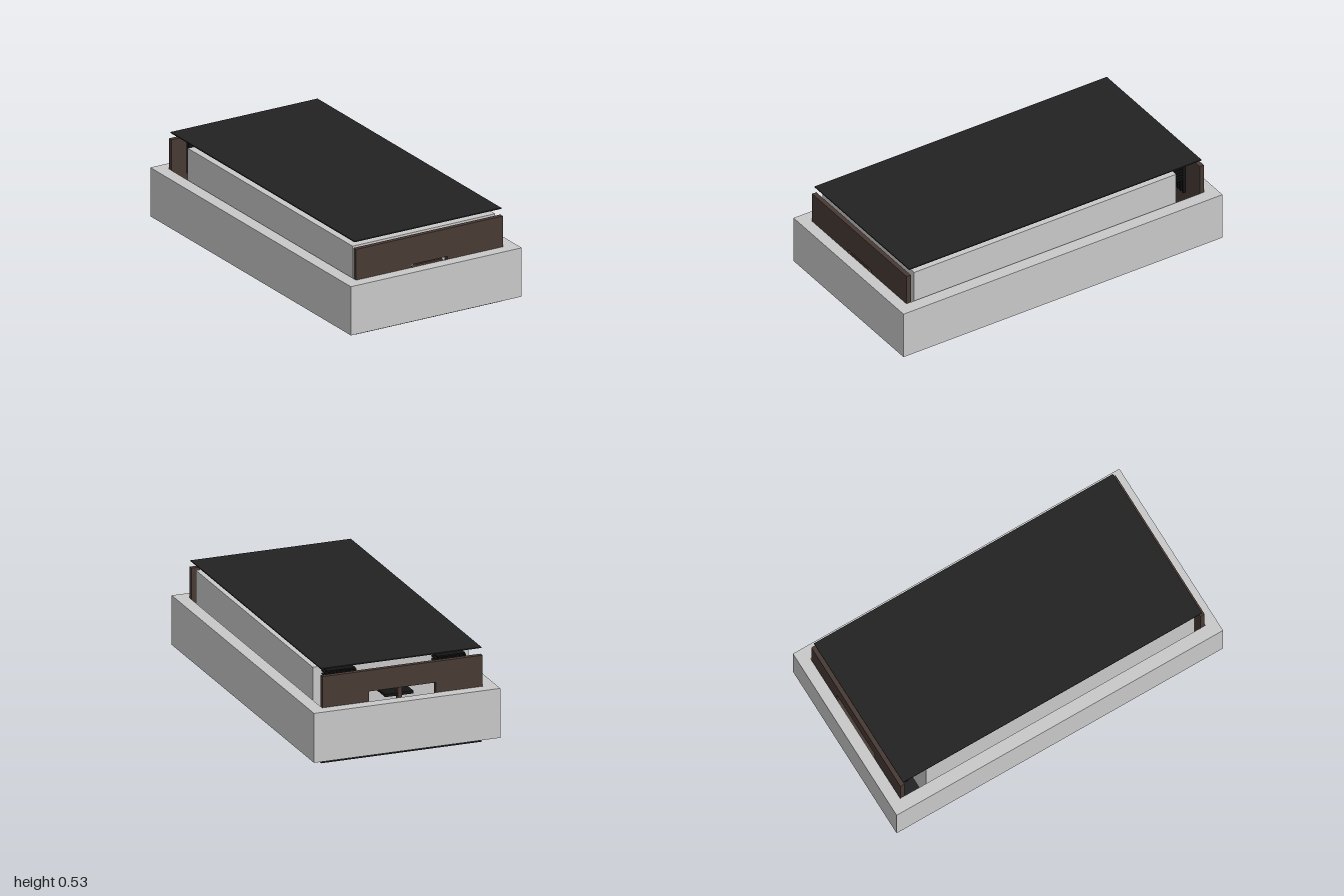
import * as THREE from 'three';

const mat = (name, color) => {
  const m = new THREE.MeshStandardMaterial({ color });
  m.name = name;
  return m;
};

export function createModel() {
  const grey = mat('light grey', 0xc8c8c8);
  const black = mat('plate black', 0x222222);
  const brown = mat('panel brown', 0x483a34);
  const pinBlack = mat('connector black', 0x141414);
  const model = new THREE.Group();
  model.name = 'explodedCase';

  const add = (name, geo, material, parent = model) => {
    const mesh = new THREE.Mesh(geo, material);
    mesh.name = name;
    parent.add(mesh);
    return mesh;
  };
  // Box given by its limits on each axis
  const box = (name, material, x0, x1, y0, y1, z0, z1, parent) => {
    const m = add(name, new THREE.BoxGeometry(x1 - x0, y1 - y0, z1 - z0), material, parent);
    m.position.set((x0 + x1) / 2, (y0 + y1) / 2, (z0 + z1) / 2);
    return m;
  };
  const points = (list) => list.map(([x, y]) => new THREE.Vector2(x, y));

  // Outer sleeve: a rectangular ring open at top and bottom
  const ring = new THREE.Shape(points([[-0.527, -1], [0.527, -1], [0.527, 1], [-0.527, 1]]));
  ring.holes.push(new THREE.Path(points([[-0.455, -0.935], [-0.455, 0.935], [0.455, 0.935], [0.455, -0.935]])));
  const sleeve = new THREE.ExtrudeGeometry(ring, { depth: 0.275, bevelEnabled: false });
  sleeve.rotateX(-Math.PI / 2);
  add('outerSleeve', sleeve, grey).position.y = 0.04;

  // Inner case with a shallow tab underneath
  box('innerCase', grey, -0.44, 0.44, 0.04, 0.484, -0.767, 0.876);
  box('caseTab', grey, -0.08, 0.08, 0.036, 0.04, 0.83, 0.87);

  // Cover plates floating above and below
  box('topPlate', black, -0.453, 0.453, 0.522, 0.528, -0.916, 0.916);
  box('bottomPlate', black, -0.453, 0.453, 0, 0.006, -0.916, 0.916);

  // End panels: two trapezoid tabs on the lower edge and one opening each
  const outline = [
    [-0.453, 0.04], [-0.275, 0.04], [-0.26, 0.034], [-0.195, 0.034], [-0.19, 0.04],
    [0.19, 0.04], [0.195, 0.034], [0.26, 0.034], [0.275, 0.04], [0.453, 0.04],
    [0.453, 0.487], [-0.453, 0.487],
  ];
  const panel = (name, opening, z) => {
    const shape = new THREE.Shape(points(outline));
    shape.holes.push(new THREE.Path(points(opening)));
    const geo = new THREE.ExtrudeGeometry(shape, { depth: 0.026, bevelEnabled: false });
    add(name, geo, brown).position.z = z;
  };
  panel('frontPanel', [
    [-0.11, 0.3], [-0.11, 0.33], [0.11, 0.33], [0.11, 0.3],
    [0.09, 0.312], [0.08, 0.324], [-0.08, 0.324], [-0.09, 0.312],
  ], 0.906);
  panel('backPanel', [[-0.19, 0.29], [-0.19, 0.37], [0.19, 0.37], [0.19, 0.29]], -0.932);

  // Connector blocks behind the case: stacked slats on a backing strip
  for (const side of [-1, 1]) {
    const block = new THREE.Group();
    block.name = side > 0 ? 'leftConnector' : 'rightConnector';
    block.position.x = side * 0.31;
    model.add(block);
    for (let i = 0; i < 6; i++) {
      const y = 0.385 + i * 0.018;
      box('slat', pinBlack, -0.08, 0.08, y, y + 0.007, -0.845, -0.767, block);
    }
    for (let i = 0; i < 7; i++) {
      const x = -0.078 + i * 0.024;
      box('pin', pinBlack, x, x + 0.01, 0.3, 0.48, -0.865, -0.845, block);
    }
  }

  // Small socket seen through the rear opening
  box('socketPost', brown, -0.012, 0.012, 0.27, 0.37, -0.9, -0.87);
  box('socketBar', pinBlack, -0.08, 0.08, 0.31, 0.325, -0.89, -0.767);
  return model;
}
